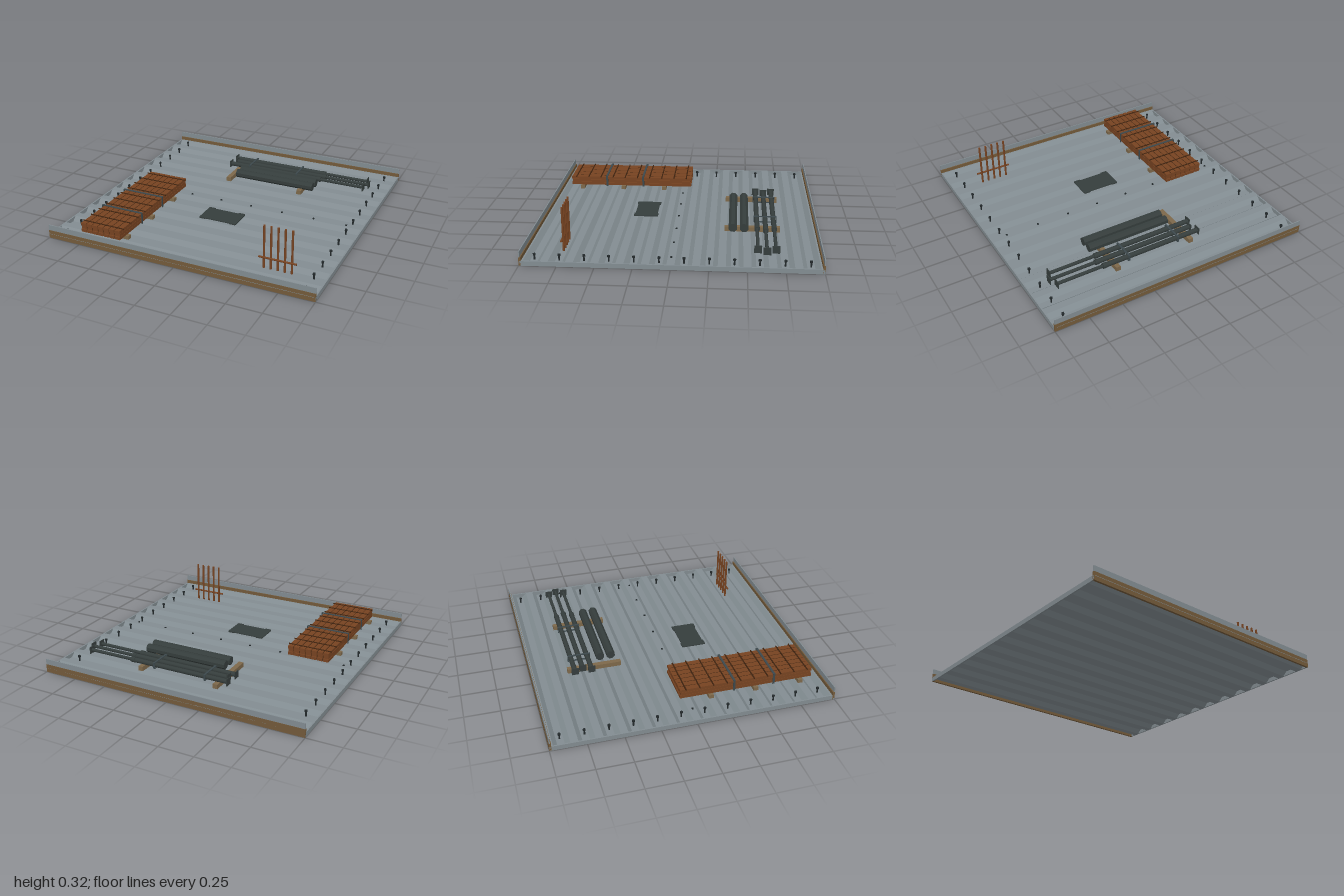
import * as THREE from 'three';

export function createModel() {
  const model = new THREE.Group();
  const mat = (name, color) => {
    const m = new THREE.MeshStandardMaterial({ color });
    m.name = name;
    return m;
  };
  const steel = mat('galvanised steel', 0x828c91);
  const edgeTimber = mat('edge timber', 0x735a3a);
  const dunnageTimber = mat('dunnage timber', 0x7d684a);
  const rust = mat('rusty brown', 0x774321);
  const darkRust = mat('dark rust', 0x41240f);
  const darkSteel = mat('dark steel', 0x353d3c);
  const strapSteel = mat('strap steel', 0x3c484c);
  const stud = mat('stud black', 0x23292b);

  const group = (name) => {
    const g = new THREE.Group();
    g.name = name;
    model.add(g);
    return g;
  };
  const add = (parent, name, geometry, material, x = 0, y = 0, z = 0) => {
    const m = new THREE.Mesh(geometry, material);
    m.name = name;
    m.position.set(x, y, z);
    parent.add(m);
    return m;
  };
  // box given by its limits on each axis
  const box = (parent, name, material, x0, x1, y0, y1, z0, z1) =>
    add(parent, name, new THREE.BoxGeometry(x1 - x0, y1 - y0, z1 - z0), material,
      (x0 + x1) / 2, (y0 + y1) / 2, (z0 + z1) / 2);
  // tube lying along x
  const rodX = (parent, name, material, x0, x1, y, z, r, sides) => {
    const g = new THREE.CylinderGeometry(r, r, x1 - x0, sides, 1, false, Math.PI / sides);
    g.rotateZ(Math.PI / 2);
    return add(parent, name, g, material, (x0 + x1) / 2, y, z);
  };

  // Trapezoidal deck sheet: section across z, extruded along x
  const deck = group('deck');
  const H = 0.033, T = 0.003, ribs = 12, pitch = 2 / ribs;
  const top = [[-1, H]];
  for (let i = 0; i < ribs; i++) {
    const c = -1 + (i + 0.5) * pitch;
    top.push([c - 0.057, H], [c - 0.025, T], [c + 0.025, T], [c + 0.057, H]);
  }
  top.push([1, H]);
  const section = top.concat(top.map(([z, y]) => [z, y - T]).reverse());
  const sheet = new THREE.ExtrudeGeometry(
    new THREE.Shape(section.map(([z, y]) => new THREE.Vector2(-z, y))),
    { depth: 1.98, bevelEnabled: false });
  sheet.rotateY(Math.PI / 2);
  add(deck, 'corrugatedSheet', sheet, steel, -0.99);

  // Closure strips at the rib ends, timber and upstand plates on the other edges
  for (const s of [-1, 1]) {
    add(deck, 'endClosure', new THREE.BoxGeometry(0.01, H, 1.998), steel, s * 0.995, H / 2, 0);
    add(deck, 'edgeTimber', new THREE.BoxGeometry(2, 0.06, 0.015), edgeTimber, 0, 0.03, s * 0.9925);
    add(deck, 'edgeUpstand', new THREE.BoxGeometry(2, 0.04, 0.007), steel, 0, 0.08, s * 0.9955);
  }

  // Headed studs in every trough, and screws along the middle seam
  const studs = group('studs');
  const shank = new THREE.CylinderGeometry(0.006, 0.006, 0.034, 8);
  const head = new THREE.CylinderGeometry(0.01, 0.01, 0.012, 8);
  for (let i = 0; i < ribs; i++)
    for (const x of [-0.9, 0.9]) {
      const z = -1 + (i + 0.5) * pitch;
      add(studs, 'studShank', shank, stud, x, 0.019, z);
      add(studs, 'studHead', head, stud, x, 0.041, z);
    }
  const screw = new THREE.CylinderGeometry(0.008, 0.008, 0.006, 6);
  for (let i = 0; i < 8; i++) add(studs, 'seamScrew', screw, stud, -0.875 + i * 0.25, 0.036, 0.004);

  // Strapped stack of rusty bars on timber bearers
  const stack = group('barStack');
  for (const z of [0.165, 0.495, 0.83])
    box(stack, 'bearer', dunnageTimber, -0.8, -0.44, H, 0.06, z - 0.017, z + 0.017);
  const layers = 3, bars = 7, w = 0.32 / bars;
  for (let l = 0; l < layers; l++) {
    const y0 = 0.06 + l * 0.0235, shift = [0, -0.006, 0][l];
    box(stack, 'stackCore', darkRust, -0.775, -0.465, y0 + 0.002, y0 + 0.02, -0.045, 0.91);
    for (let i = 0; i < bars; i++) {
      const x = -0.78 + i * w;
      box(stack, 'bar', rust, x + 0.003, x + w - 0.003, y0, y0 + 0.0215,
        -0.055 - shift, 0.92 + shift);
    }
  }
  for (let i = 0; i < 10; i++)
    rodX(stack, 'crossBar', darkRust, -0.786, -0.454, 0.13, -0.015 + i * 0.0995, 0.005, 6);
  for (const z of [0.335, 0.63]) {
    box(stack, 'strapTop', strapSteel, -0.787, -0.453, 0.136, 0.141, z - 0.008, z + 0.008);
    for (const x of [-0.785, -0.455])
      box(stack, 'strapSide', strapSteel, x - 0.002, x + 0.002, 0.055, 0.14, z - 0.008, z + 0.008);
  }

  // Telescopic props and short tubes on two bearers
  const props = group('propStack');
  for (const x of [-0.225, 0.375])
    box(props, 'bearer', dunnageTimber, x - 0.018, x + 0.018, H, 0.066, -0.735, -0.34);
  for (const [z, dx] of [[-0.69, 0], [-0.63, 0.028], [-0.57, 0]]) {
    rodX(props, 'outerTube', darkSteel, -0.305 + dx, 0.47 + dx, 0.084, z, 0.018, 12);
    rodX(props, 'innerTube', darkSteel, 0.47 + dx, 0.825 + dx, 0.084, z, 0.012, 12);
    rodX(props, 'collar', darkSteel, 0.445 + dx, 0.475 + dx, 0.084, z, 0.02, 12);
    for (const x of [-0.305, 0.825])
      box(props, 'endPlate', darkSteel, x + dx - 0.003, x + dx + 0.003, 0.06, 0.112, z - 0.026, z + 0.026);
  }
  for (const x of [-0.13, 0.275]) {
    box(props, 'strapTop', strapSteel, x - 0.007, x + 0.007, 0.102, 0.107, -0.713, -0.547);
    box(props, 'strapBottom', strapSteel, x - 0.007, x + 0.007, 0.061, 0.065, -0.713, -0.547);
    for (const z of [-0.711, -0.549])
      box(props, 'strapSide', strapSteel, x - 0.007, x + 0.007, 0.061, 0.107, z - 0.002, z + 0.002);
  }
  for (const z of [-0.48, -0.4]) {
    const tube = rodX(props, 'shortTube', darkSteel, -0.175, 0.47, 0.09, z, 0.032, 8);
    tube.material.flatShading = false;
    tube.geometry = tube.geometry.toNonIndexed();
    tube.geometry.computeVertexNormals();
  }

  // Cover plate with edge clips
  const cover = group('coverPlate');
  box(cover, 'plate', darkSteel, -0.147, 0.147, H, 0.04, 0.167, 0.332);
  for (const x of [-0.12, 0.12])
    for (const z of [0.167, 0.332])
      box(cover, 'clip', darkSteel, x - 0.024, x + 0.024, H, 0.042, z - 0.007, z + 0.007);

  // Upright starter bars tied by one cross bar
  const starters = group('starterBars');
  const upright = new THREE.CylinderGeometry(0.008, 0.008, 0.318, 8);
  for (let i = 0; i < 5; i++) add(starters, 'upright', upright, rust, 0.546 + i * 0.05, 0.162, 0.75);
  rodX(starters, 'tieBar', rust, 0.512, 0.782, 0.085, 0.759, 0.007, 8);

  return model;
}
